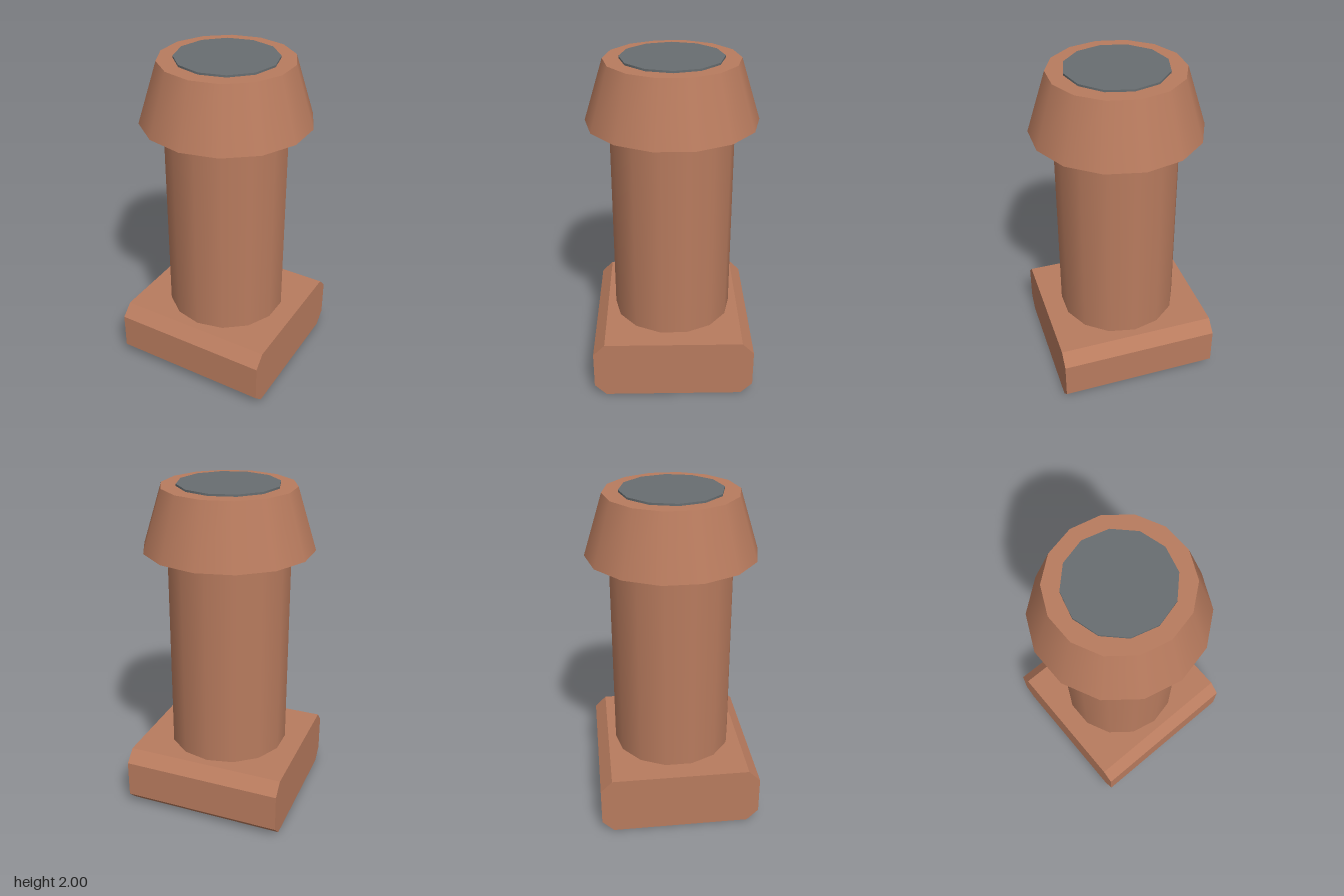
import * as THREE from 'three';

const copper = new THREE.MeshStandardMaterial({ color: 0xb87b5e });
const darkGrey = new THREE.MeshStandardMaterial({ color: 0x686e71 });

// Upright smooth-sided cylinder or cone between two heights
function column(name, rTop, rBottom, y0, y1, sides, material) {
  const mesh = new THREE.Mesh(new THREE.CylinderGeometry(rTop, rBottom, y1 - y0, sides), material);
  mesh.position.y = (y0 + y1) / 2;
  mesh.name = name;
  return mesh;
}

export function createModel() {
  const model = new THREE.Group();
  model.name = 'post';

  // Base: block with chamfered front and back edges, extruded along x
  const half = 0.487, height = 0.37, cut = 0.07;
  const profile = new THREE.Shape([
    [-half + cut, 0], [half - cut, 0], [half, cut], [half, height - cut],
    [half - cut, height], [-half + cut, height], [-half, height - cut], [-half, cut],
  ].map(([x, y]) => new THREE.Vector2(x, y)));
  const baseGeometry = new THREE.ExtrudeGeometry(profile, { depth: half * 2, bevelEnabled: false });
  baseGeometry.translate(0, 0, -half).rotateY(Math.PI / 2);
  const base = new THREE.Mesh(baseGeometry, copper);
  base.name = 'base';
  model.add(base);

  // Shaft, flared head and inset cap
  model.add(
    column('shaft', 0.367, 0.367, height, 1.625, 14, copper),
    column('head', 0.393, 0.507, 1.625, 1.988, 14, copper),
    column('cap', 0.3, 0.3, 1.96, 2, 12, darkGrey),
  );
  return model;
}
